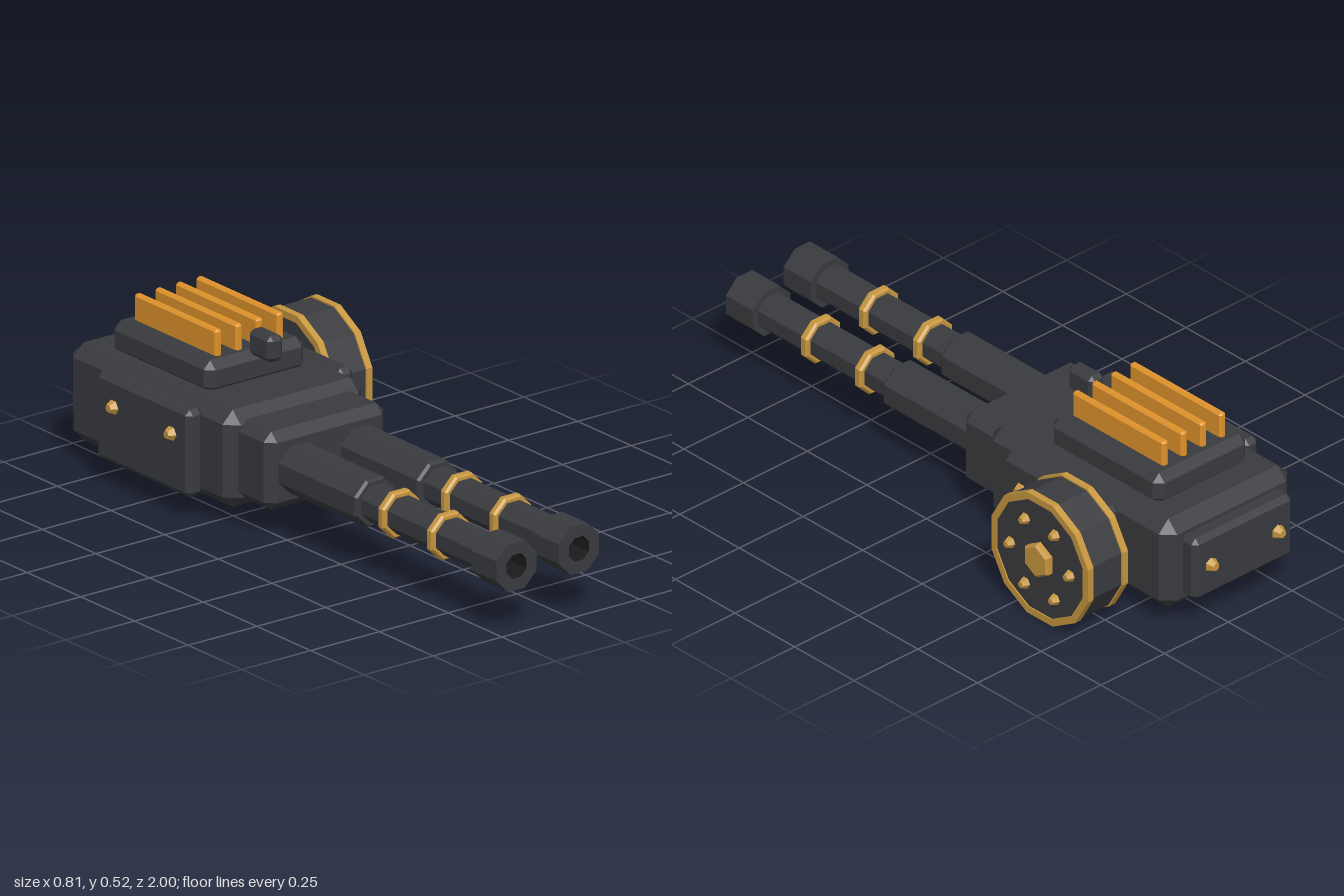
import * as THREE from 'three';
import { ConvexGeometry } from 'three/addons/geometries/ConvexGeometry.js';

const mat = (color) => new THREE.MeshStandardMaterial({ color, flatShading: true });
const STEEL = mat(0x3a3b3f), BRASS = mat(0xc6963f), COPPER = mat(0xe0932b), BORE = mat(0x1b1b1c);

// Chamfered box given by its extents
function chamferBox([x0, x1], [y0, y1], [z0, z1], b) {
  const h = [(x1 - x0) / 2, (y1 - y0) / 2, (z1 - z0) / 2];
  const pts = [];
  for (const sx of [-1, 1]) for (const sy of [-1, 1]) for (const sz of [-1, 1])
    for (let full = 0; full < 3; full++) {
      const c = h.map((v, i) => (i === full ? v : v - b));
      pts.push(new THREE.Vector3(sx * c[0], sy * c[1], sz * c[2]));
    }
  return new ConvexGeometry(pts).translate((x0 + x1) / 2, (y0 + y1) / 2, (z0 + z1) / 2);
}

// Faceted lathe; radii are measured to the flats, and a flat faces up
function facetLathe(profile, sides) {
  const k = 1 / Math.cos(Math.PI / sides);
  return new THREE.LatheGeometry(profile.map(([r, y]) => new THREE.Vector2(r * k, y)), sides, Math.PI / sides);
}

export function createModel() {
  const model = new THREE.Group();
  model.name = 'twinBarrelTurret';
  const add = (name, geometry, material, parent = model) => {
    const mesh = new THREE.Mesh(geometry, material);
    mesh.name = name;
    parent.add(mesh);
    return mesh;
  };
  const CX = -0.083, up = new THREE.Vector3(0, 1, 0);

  // Tapered hexagonal rivet whose base sits at (x, y, z)
  const rivet = (name, x, y, z, dir, r, h, parent) => {
    const m = add(name, new THREE.CylinderGeometry(r * 0.55, r, h, 6).translate(0, h / 2, 0), BRASS, parent);
    m.position.set(x, y, z);
    m.quaternion.setFromUnitVectors(up, dir);
  };

  // Housing
  add('body', chamferBox([-0.335, 0.168], [0.055, 0.353], [-0.925, -0.155], 0.038), STEEL);
  add('frontBlock', chamferBox([-0.302, 0.135], [0.085, 0.325], [-0.25, -0.016], 0.028), STEEL);
  add('topPlate', chamferBox([-0.264, 0.098], [0.335, 0.438], [-0.812, -0.347], 0.025), STEEL);
  add('backPlate', chamferBox([-0.278, 0.11], [0.1, 0.305], [-0.978, -0.9], 0.016), STEEL);
  add('sight', chamferBox([-0.111, -0.055], [0.427, 0.507], [-0.366, -0.26], 0.014), STEEL);

  // Cooling fins
  for (let i = 0; i < 4; i++) {
    const x = -0.196 + i * 0.0747;
    add('coolingFin', chamferBox([x - 0.012, x + 0.012], [0.43, 0.517], [-0.77, -0.385], 0.007), COPPER);
  }

  // Side plates with rivets
  for (const s of [-1, 1]) {
    const a = CX + s * 0.245, b = CX + s * 0.303;
    add('sidePlate', chamferBox([Math.min(a, b), Math.max(a, b)], [0.07, 0.337], [-0.72, -0.285], 0.016), STEEL);
    for (const z of [-0.365, -0.635])
      rivet('sideRivet', b, 0.25, z, new THREE.Vector3(s, 0, 0), 0.023, 0.02);
    rivet('backRivet', CX + s * 0.131, 0.205, -0.978, new THREE.Vector3(0, 0, -1), 0.023, 0.022);
  }

  // Twin barrels
  for (const x of [-0.197, 0.03]) {
    const barrel = new THREE.Group();
    barrel.name = 'barrel';
    barrel.position.set(x, 0.205, 0);
    model.add(barrel);
    const part = (name, profile, material) => add(name, facetLathe(profile, 8).rotateX(Math.PI / 2), material, barrel);
    part('barrelSleeve', [[0, -0.05], [0.072, -0.05], [0.072, 0.336], [0.066, 0.345], [0, 0.345]], STEEL);
    part('barrelTube', [[0.054, 0.33], [0.054, 0.9]], STEEL);
    part('muzzle', [[0, 0.885], [0.073, 0.885], [0.073, 1], [0.036, 1]], STEEL);
    part('bore', [[0.036, 1], [0.036, 0.93], [0, 0.93]], BORE);
    for (const z of [0.453, 0.68])
      part('barrelRing', [[0.05, z - 0.015], [0.063, z - 0.015], [0.069, z - 0.008],
        [0.069, z + 0.008], [0.063, z + 0.015], [0.05, z + 0.015]], BRASS);
  }

  // Ammunition drum, its axis along x
  const drum = new THREE.Group();
  drum.name = 'drum';
  drum.position.set(0, 0.203, -0.62);
  model.add(drum);
  const turned = (name, profile, sides, material) =>
    add(name, facetLathe(profile, sides).rotateZ(-Math.PI / 2), material, drum);
  turned('drumCore', [[0, 0.232], [0.198, 0.232], [0.198, 0.381], [0, 0.381]], 12, STEEL);
  for (const x of [0.228, 0.363])
    turned('drumRim', [[0.181, x], [0.203, x], [0.203, x + 0.022], [0.181, x + 0.022], [0.181, x]], 12, BRASS);
  turned('drumAxle', [[0.03, 0.19], [0.03, 0.24]], 6, BRASS);
  turned('drumHub', [[0.049, 0.375], [0.049, 0.396], [0.042, 0.403], [0, 0.403]], 6, BRASS);
  for (let i = 0; i < 6; i++) {
    const a = (i * Math.PI) / 3;
    rivet('drumBolt', 0.38, Math.sin(a) * 0.125, Math.cos(a) * 0.125, new THREE.Vector3(1, 0, 0), 0.019, 0.022, drum);
  }
  return model;
}
